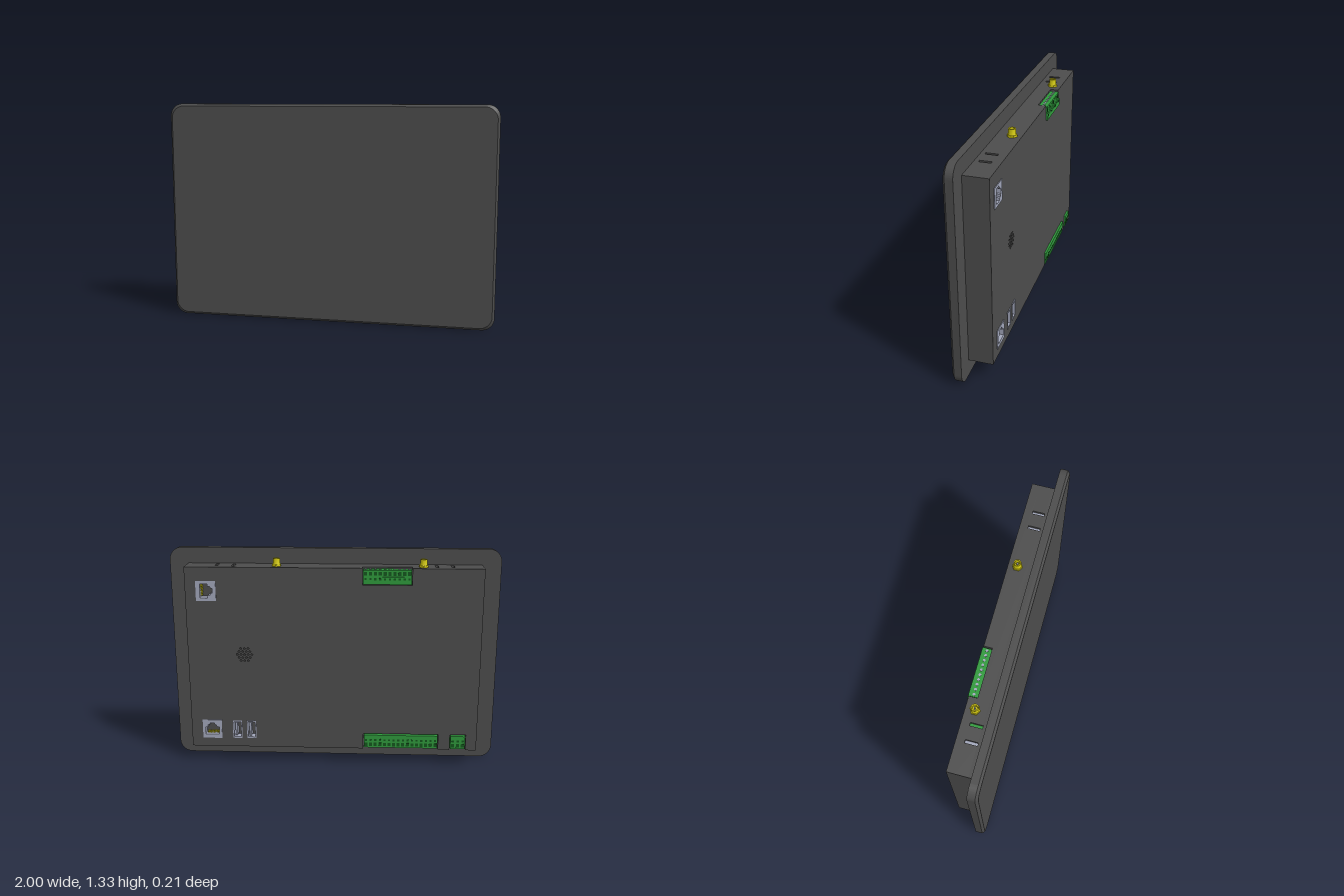
import * as THREE from 'three';
import { toCreasedNormals } from 'three/addons/utils/BufferGeometryUtils.js';

const mat = (color) => new THREE.MeshStandardMaterial({ color });
const DARK = mat(0x4d4d4d), BLACK = mat(0x222222), STEEL = mat(0xa3a8bc);
const GREEN = mat(0x2f9a3c), DEEP = mat(0x14561d), BRASS = mat(0xd6cc10);

const BACK = -0.094, FLOOR = -0.045, BOTTOM = 0.1, TOP = 1.235, HALF = 0.885;

export function createModel() {
  const root = new THREE.Group();

  const add = (name, geometry, material, x = 0, y = 0, z = 0, parent = root) => {
    const mesh = new THREE.Mesh(geometry, material);
    mesh.name = name;
    mesh.position.set(x, y, z);
    parent.add(mesh);
    return mesh;
  };
  const box = (name, material, x0, x1, y0, y1, z0, z1, parent) =>
    add(name, new THREE.BoxGeometry(x1 - x0, y1 - y0, z1 - z0), material,
      (x0 + x1) / 2, (y0 + y1) / 2, (z0 + z1) / 2, parent);
  const poly = (points, Type = THREE.Shape) => new Type(points.map((p) => new THREE.Vector2(...p)));
  const rect = (x0, x1, y0, y1, Type) => poly([[x0, y0], [x1, y0], [x1, y1], [x0, y1]], Type);
  const extrude = (shape, z0, z1, options = {}) =>
    new THREE.ExtrudeGeometry(shape, { depth: z1 - z0, bevelEnabled: false, ...options }).translate(0, 0, z0);

  // Front panel: rounded slab with a narrow chamfer around its front face
  const r = 0.075, W = 1, H = 1.33;
  const outline = new THREE.Shape();
  outline.absarc(W - r, r, r, -Math.PI / 2, 0);
  outline.absarc(W - r, H - r, r, 0, Math.PI / 2);
  outline.absarc(-W + r, H - r, r, Math.PI / 2, Math.PI);
  outline.absarc(-W + r, r, r, Math.PI, Math.PI * 1.5);
  const slab = extrude(outline, 0, 1, { steps: 2, curveSegments: 10 });
  const p = slab.attributes.position;
  for (let i = 0; i < p.count; i++) {
    const z = p.getZ(i);
    if (z > 0.9) {
      p.setX(i, p.getX(i) * 0.986);
      p.setY(i, H / 2 + (p.getY(i) - H / 2) * 0.979);
    }
    p.setZ(i, z > 0.9 ? 0.108 : z > 0.1 ? 0.094 : 0.05);
  }
  add('frontPanel', toCreasedNormals(slab, 0.5), DARK);

  // Rear housing in three layers; notches are [x0, x1, depth] cut into top or bottom edges
  const layer = (name, z0, z1, bottom, top, holes = []) => {
    const pts = [[-HALF, BOTTOM]];
    for (const [a, b, d] of bottom) pts.push([a, BOTTOM], [a, BOTTOM + d], [b, BOTTOM + d], [b, BOTTOM]);
    pts.push([HALF, BOTTOM], [HALF, TOP]);
    for (const [a, b, d] of [...top].reverse()) pts.push([b, TOP], [b, TOP - d], [a, TOP - d], [a, TOP]);
    pts.push([-HALF, TOP]);
    const shape = poly(pts);
    shape.holes.push(...holes);
    add(name, extrude(shape, z0, z1, { curveSegments: 4 }), DARK);
  };

  const ports = [[-0.1, 0.15], [0.14, 0.13], [0.41, 0.08]];
  const slots = [-0.705, -0.61, 0.6, 0.7];
  const jacks = [
    { name: 'upperJack', x: 0.76, y: 1.092, turn: Math.PI / 2 },
    { name: 'lowerJack', x: 0.756, y: 0.215, turn: 0 },
  ];
  const usbX = [0.598, 0.51];
  const terminals = [
    { name: 'topTerminal', x0: -0.46, x1: -0.175, pins: 10, top: true },
    { name: 'longTerminal', x0: -0.645, x1: -0.19, pins: 16, top: false },
    { name: 'smallTerminal', x0: -0.815, x1: -0.725, pins: 3, top: false },
  ];

  // Hexagonal speaker grille and socket openings through the back layer
  const holes = [];
  for (let a = -2; a <= 2; a++) {
    for (let b = -2; b <= 2; b++) {
      if (Math.abs(a + b) > 2) continue;
      const hole = new THREE.Path();
      hole.absarc(0.54 + (a + b / 2) * 0.022, 0.7 + b * 0.019, 0.0065, 0, Math.PI * 2, true);
      holes.push(hole);
    }
  }
  for (const { x, y } of jacks) holes.push(rect(x - 0.06, x + 0.06, y - 0.06, y + 0.06, THREE.Path));
  for (const x of usbX) holes.push(rect(x - 0.029, x + 0.029, 0.157, 0.272, THREE.Path));

  const notch = (t) => [t.x0 - 0.004, t.x1 + 0.004, 0.1];
  layer('housingBase', 0.025, 0.05, [], []);
  layer('housingMiddle', FLOOR, 0.025,
    ports.map(([x, w]) => [x - w / 2, x + w / 2, 0.04]),
    slots.map((x) => [x - 0.009, x + 0.009, 0.03]));
  layer('housingBack', BACK, FLOOR,
    terminals.filter((t) => !t.top).map(notch).reverse().sort((a, b) => a[0] - b[0]),
    terminals.filter((t) => t.top).map(notch), holes);

  // Inserts inside the narrow top slots
  slots.forEach((x, i) =>
    box('topSlotInsert', i === 1 ? GREEN : STEEL, x - 0.008, x + 0.008, TOP - 0.03, TOP - 0.012, FLOOR, 0.025));

  // Bottom ports: surround plate, metal shell and tongue
  for (const [x, w] of ports) {
    const g = new THREE.Group();
    g.name = 'bottomPort';
    g.position.set(x, BOTTOM, -0.01);
    g.rotation.x = Math.PI / 2;
    root.add(g);
    const plate = rect(-w / 2, w / 2, -0.035, 0.035);
    plate.holes.push(rect(-w / 2 + 0.006, w / 2 - 0.006, -0.02, 0.02, THREE.Path));
    add('portSurround', extrude(plate, -0.03, 0), DARK, 0, 0, 0, g);
    const shell = rect(-w / 2 + 0.006, w / 2 - 0.006, -0.02, 0.02);
    shell.holes.push(rect(-w / 2 + 0.012, w / 2 - 0.012, -0.014, 0.014, THREE.Path));
    add('portShell', extrude(shell, -0.03, 0.001), STEEL, 0, 0, 0, g);
    box('portTongue', BLACK, -w / 2 + 0.022, w / 2 - 0.022, -0.004, 0.004, -0.04, -0.008, g);
  }

  // Network jacks: metal face with stepped opening and contact strips
  for (const { name, x, y, turn } of jacks) {
    const g = new THREE.Group();
    g.name = name;
    g.position.set(x, y, 0);
    g.rotation.z = turn;
    root.add(g);
    const face = rect(-0.06, 0.06, -0.06, 0.06);
    face.holes.push(poly([[-0.043, -0.035], [0.043, -0.035], [0.043, 0.012], [0.027, 0.012],
      [0.027, 0.027], [0.015, 0.027], [0.015, 0.04], [-0.015, 0.04], [-0.015, 0.027],
      [-0.027, 0.027], [-0.027, 0.012], [-0.043, 0.012]], THREE.Path));
    add('jackFace', extrude(face, -0.098, FLOOR), STEEL, 0, 0, 0, g);
    for (let i = 0; i < 8; i++) {
      const cx = (i - 3.5) * 0.009;
      box('jackContact', BRASS, cx - 0.002, cx + 0.002, -0.035, -0.026, -0.075, FLOOR, g);
    }
  }

  // Upright data sockets with an offset tongue
  for (const x of usbX) {
    const frame = rect(x - 0.029, x + 0.029, 0.157, 0.272);
    frame.holes.push(rect(x - 0.022, x + 0.022, 0.166, 0.263, THREE.Path));
    add('dataSocketShell', extrude(frame, -0.097, FLOOR), STEEL);
    box('dataSocketTongue', STEEL, x + 0.002, x + 0.014, 0.172, 0.257, -0.088, FLOOR);
  }

  // Green terminal blocks: stepped section, wire openings and screws on the outer edge
  for (const { name, x0, x1, pins, top } of terminals) {
    const g = new THREE.Group();
    g.name = name;
    g.position.y = top ? TOP : BOTTOM;
    root.add(g);
    const s = top ? -1 : 1;
    const slabs = [[0.01, 0.05, -0.099], [0.05, 0.094, -0.105]];
    for (const [a, b, z] of slabs) {
      box('terminalBody', GREEN, x0, x1, Math.min(s * a, s * b), Math.max(s * a, s * b), z, FLOOR, g);
    }
    const pitch = (x1 - x0) / pins, w = pitch * 0.33;
    for (let i = 0; i < pins; i++) {
      const x = x0 + (i + 0.5) * pitch;
      add('wireOpening', new THREE.BoxGeometry(w * 2, 0.022, 0.002), DEEP, x, s * 0.031, -0.099, g);
      add('releaseButton', new THREE.BoxGeometry(w * 1.4, 0.012, 0.002), DEEP, x, s * 0.062, -0.105, g);
      add('terminalScrew', new THREE.CylinderGeometry(w * 0.85, w * 0.85, 0.004, 10), STEEL, x, s * 0.0095, -0.07, g);
    }
  }

  // Threaded antenna sockets on a hexagonal nut
  for (const x of [-0.53, 0.34]) {
    const g = new THREE.Group();
    g.name = 'antennaSocket';
    g.position.set(x, TOP, -0.04);
    root.add(g);
    const nut = new THREE.CylinderGeometry(0.03, 0.03, 0.012, 6).toNonIndexed();
    nut.computeVertexNormals();
    add('antennaNut', nut, BRASS, 0, 0.006, 0, g);
    const profile = [[0.024, 0.01], [0.021, 0.018], [0.021, 0.047], [0.014, 0.047], [0.014, 0.02], [0, 0.02]];
    const barrel = new THREE.LatheGeometry(profile.map((q) => new THREE.Vector2(...q)), 20);
    const socket = add('antennaBarrel', toCreasedNormals(barrel, 0.6), BRASS, 0, 0, 0, g);
    socket.material = BRASS.clone();
    socket.material.side = THREE.DoubleSide;
    add('antennaPin', new THREE.CylinderGeometry(0.005, 0.005, 0.022, 8), STEEL, 0, 0.03, 0, g);
  }

  return root;
}
